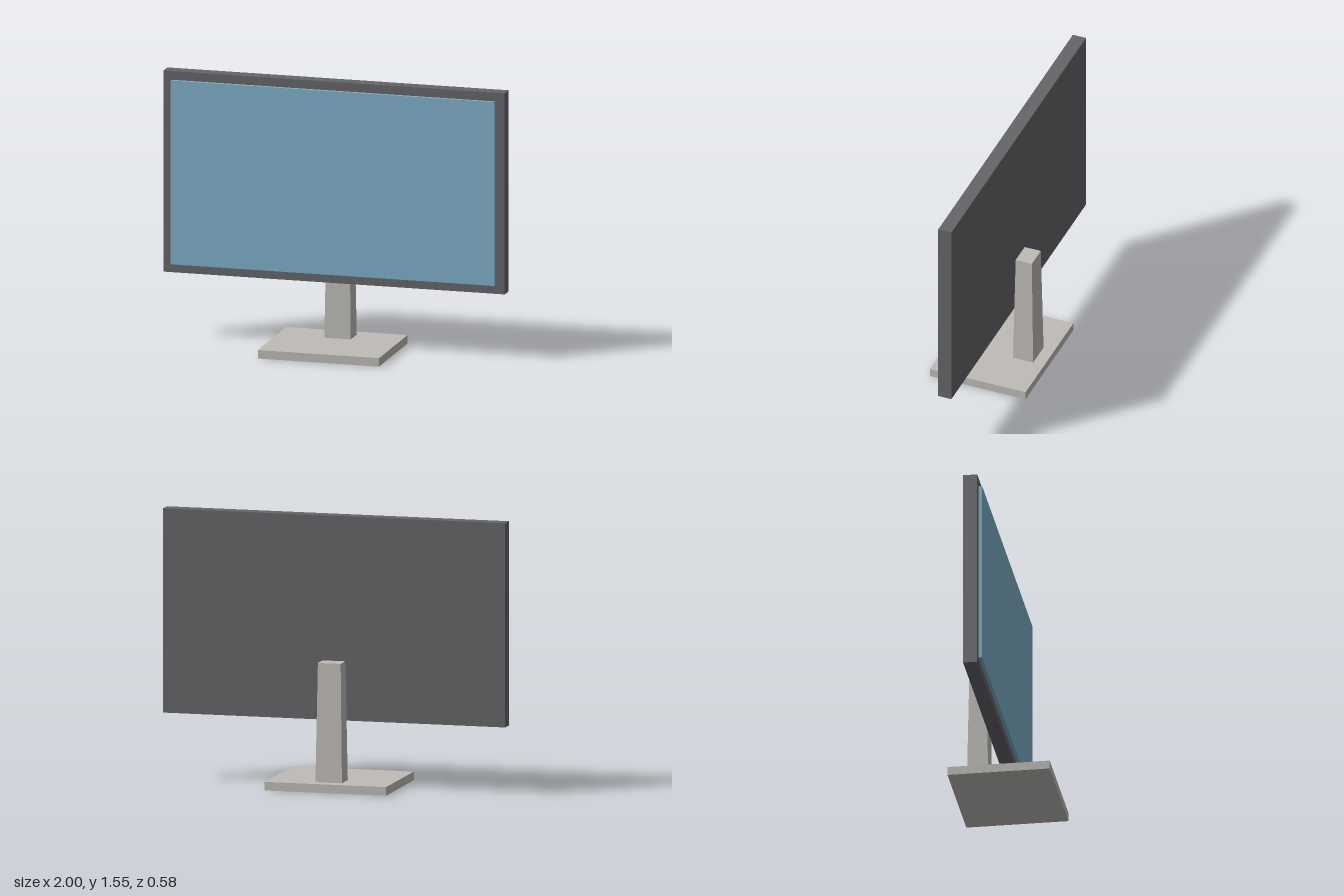
import * as THREE from 'three';

export function createModel() {
  const model = new THREE.Group();
  model.name = 'monitor';

  const material = (name, color) => {
    const m = new THREE.MeshStandardMaterial({ color });
    m.name = name;
    return m;
  };
  const darkGrey = material('dark grey casing', 0x656468);
  const paleBlue = material('pale blue screen', 0x7fb0ca);
  const lightGrey = material('light grey stand', 0xbfbcb8);

  // Box spanning a range on each axis
  const box = (name, mat, [x0, x1], [y0, y1], [z0, z1]) => {
    const mesh = new THREE.Mesh(new THREE.BoxGeometry(x1 - x0, y1 - y0, z1 - z0), mat);
    mesh.position.set((x0 + x1) / 2, (y0 + y1) / 2, (z0 + z1) / 2);
    mesh.name = name;
    model.add(mesh);
    return mesh;
  };

  // Casing with the screen slab standing proud of its front
  box('casing', darkGrey, [-1, 1], [0.388, 1.552], [-0.104, -0.024]);
  box('screen', paleBlue, [-0.951, 0.947], [0.438, 1.502], [-0.024, -0.004]);

  // Stand: flat foot and a neck that narrows towards the top
  box('foot', lightGrey, [-0.356, 0.354], [0, 0.049], [-0.291, 0.291]);
  const neck = box('neck', lightGrey, [-0.079, 0.076], [0.049, 0.727], [-0.223, -0.1]);
  const p = neck.geometry.attributes.position;
  for (let i = 0; i < p.count; i++) {
    if (p.getY(i) > 0) p.setXYZ(i, p.getX(i) * 0.86, p.getY(i), p.getZ(i) * 0.8);
  }
  neck.geometry.computeVertexNormals();

  return model;
}
